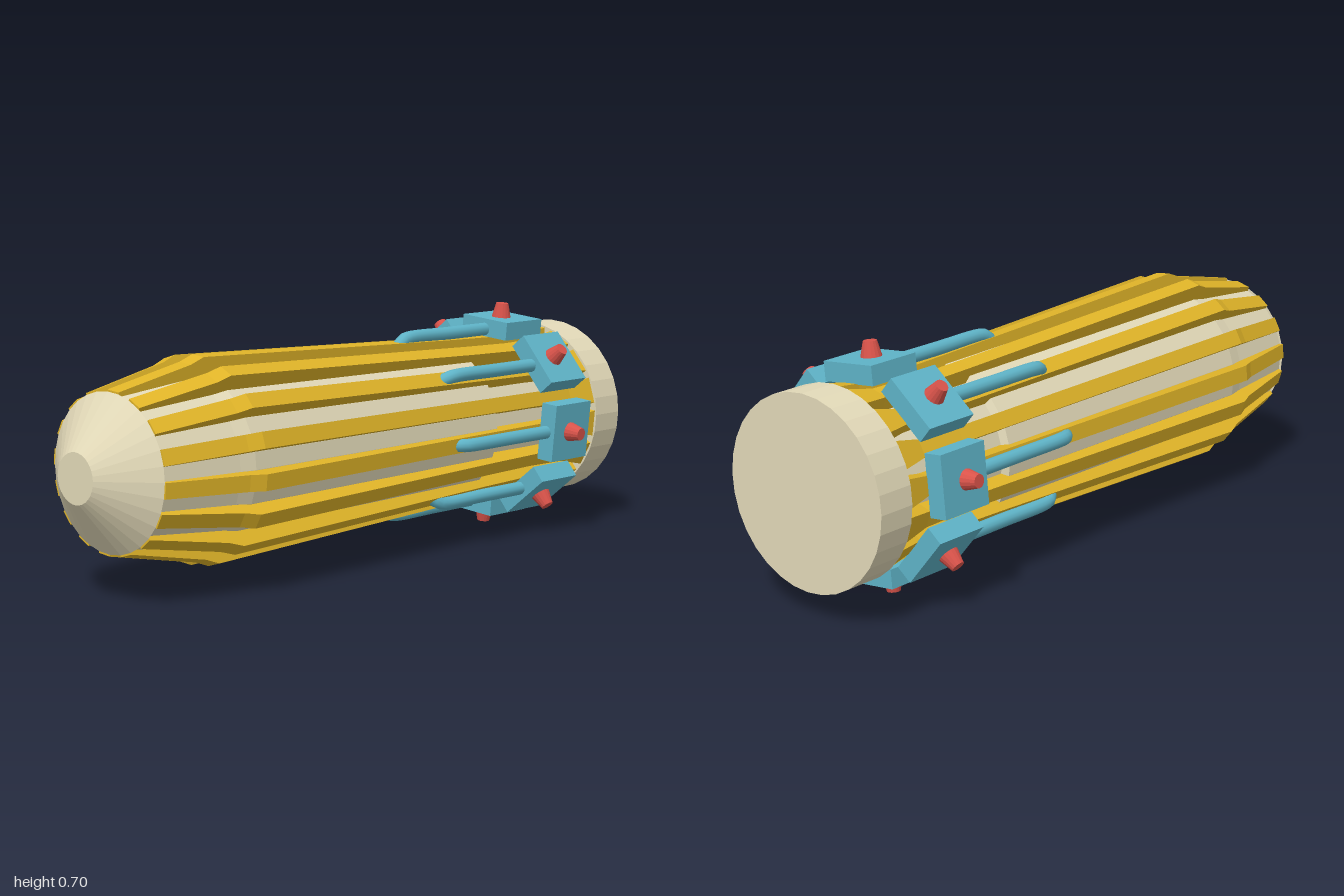
import * as THREE from 'three';

const AXIS_Y = 0.345;
const mat = (color, flatShading = true) => new THREE.MeshStandardMaterial({ color, flatShading });
const cream = mat(0xe2d9b8), gold = mat(0xe0b428), blue = mat(0x5fb4c8);
const blueSmooth = mat(0x5fb4c8, false), red = mat(0xd9534a);

function part(name, geometry, material, parent) {
  const mesh = new THREE.Mesh(geometry, material);
  mesh.name = name;
  parent.add(mesh);
  return mesh;
}

// Turned shape along z from [radius, z] pairs, listed rear to front
function turned(profile, sides) {
  const points = profile.map(([r, z]) => new THREE.Vector2(r, z));
  return new THREE.LatheGeometry(points, sides).rotateX(Math.PI / 2);
}

// Long rib from rectangular sections [z, inner radius, outer radius, half width], front to rear
function ribGeometry(sections) {
  const rings = sections.map(([z, ri, ro, w]) => [[-w, ri, z], [w, ri, z], [w, ro, z], [-w, ro, z]]);
  const pos = [];
  const quad = (a, b, c, d) => pos.push(...a, ...b, ...c, ...a, ...c, ...d);
  for (let i = 0; i < rings.length - 1; i++) {
    const f = rings[i], r = rings[i + 1];
    for (let j = 0; j < 4; j++) {
      const k = (j + 1) % 4;
      quad(f[j], r[j], r[k], f[k]);
    }
  }
  quad(...rings[0]);
  quad(...[...rings[rings.length - 1]].reverse());
  const g = new THREE.BufferGeometry();
  g.setAttribute('position', new THREE.Float32BufferAttribute(pos, 3));
  g.computeVertexNormals();
  return g;
}

export function createModel() {
  const model = new THREE.Group();
  model.name = 'ribbedCylinder';
  const body = new THREE.Group();
  body.name = 'body';
  body.position.y = AXIS_Y;
  model.add(body);

  // Core, blunt nose and rear cap
  part('core', turned([
    [0.21, -0.9], [0.21, -0.46], [0.23, -0.45], [0.245, 0.58], [0.236, 0.63], [0.21, 0.89],
  ], 32), cream, body);
  part('noseCone', turned([[0, 0.885], [0.218, 0.885], [0.07, 1], [0, 1]], 32), cream, body);
  part('rearCap', turned([[0, -1], [0.272, -1], [0.272, -0.885], [0, -0.885]], 32), cream, body);

  // Ribs, flared where they meet the rear cap
  const rib = ribGeometry([
    [0.885, 0.18, 0.222, 0.022], [0.63, 0.2, 0.274, 0.023], [0.585, 0.2, 0.291, 0.023],
    [-0.45, 0.19, 0.255, 0.022], [-0.64, 0.19, 0.25, 0.022], [-0.79, 0.19, 0.25, 0.025],
    [-0.887, 0.19, 0.264, 0.04],
  ]);
  const first = -Math.PI / 32;
  for (let i = 0; i < 16; i++) {
    part('rib', rib, gold, body).rotation.z = first + i * Math.PI / 8;
  }

  // Ring of blocks, each with a stud on top and a rod bending down onto its rib
  const block = new THREE.BoxGeometry(0.174, 0.055, 0.17).translate(0, 0.2775, -0.717);
  const stud = new THREE.CylinderGeometry(0.019, 0.031, 0.05, 16).translate(0, 0.323, -0.71);
  const path = new THREE.CatmullRomCurve3([
    [0.272, -0.66], [0.272, -0.45], [0.272, -0.28], [0.266, -0.255], [0.245, -0.232],
  ].map(([r, z]) => new THREE.Vector3(0, r, z)));
  const rod = new THREE.TubeGeometry(path, 24, 0.02, 12);
  for (let i = 0; i < 8; i++) {
    const unit = new THREE.Group();
    unit.name = 'clampUnit';
    unit.rotation.z = first + i * Math.PI / 4;
    part('block', block, blue, unit);
    part('stud', stud, red, unit);
    part('rod', rod, blueSmooth, unit);
    body.add(unit);
  }
  return model;
}
